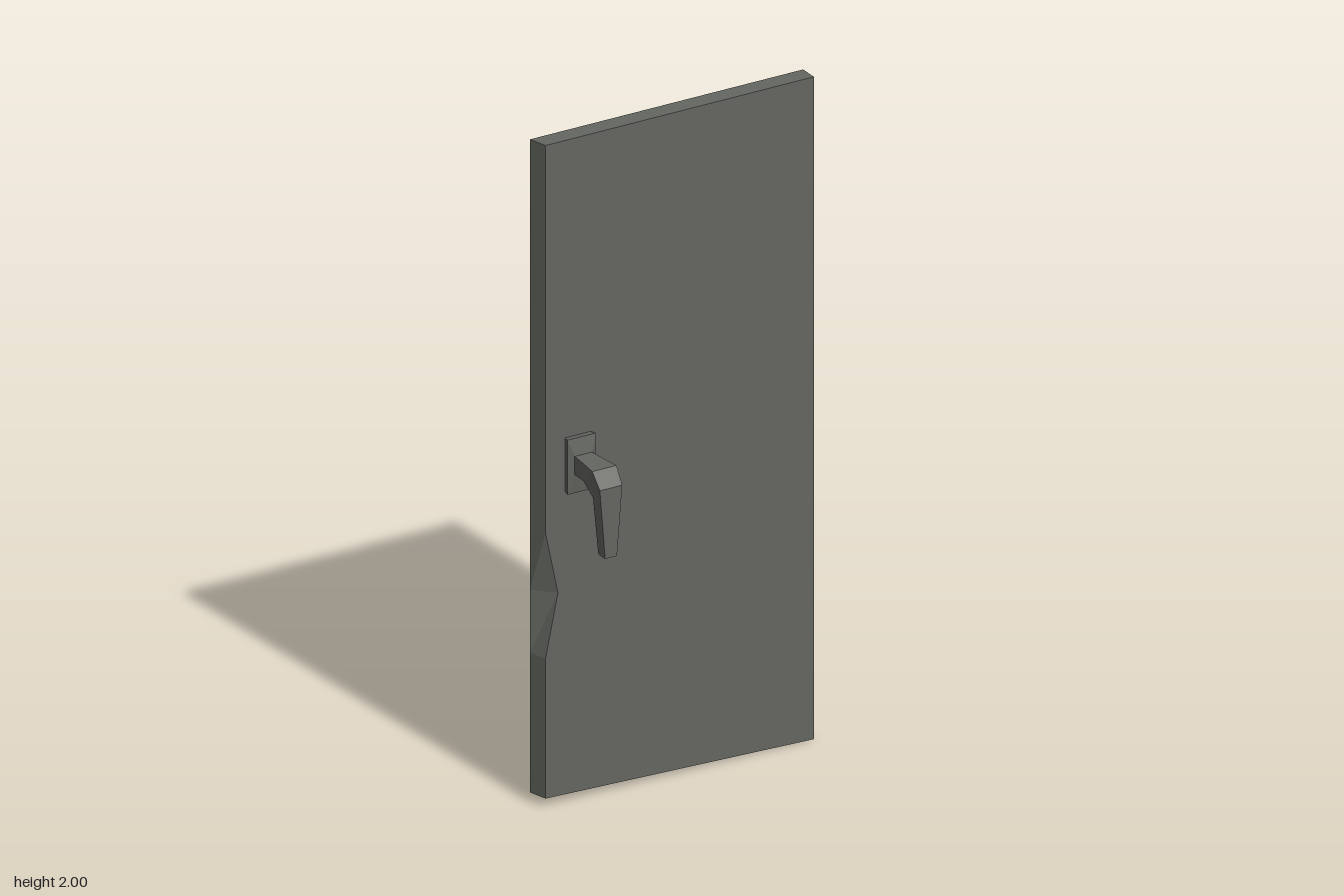
import * as THREE from 'three';

const BACK = -0.117, FRONT = -0.06;

// Slab with a slanted latch edge, a chipped front edge and a sloping bottom
function doorGeometry() {
  const outline = [[0.44, 0], [0.44, 2], [-0.425, 2], [-0.425, 0.83], [-0.385, 0.64], [-0.425, 0.45], [-0.425, 0.028]];
  const shape = new THREE.Shape(outline.map(([x, y]) => new THREE.Vector2(x, y)));
  const geo = new THREE.ExtrudeGeometry(shape, { depth: FRONT - BACK, bevelEnabled: false });
  geo.translate(0, 0, BACK);
  const p = geo.attributes.position;
  // the back edge stays straight and reaches further out
  for (let i = 0; i < p.count; i++) {
    if (p.getX(i) < 0 && p.getZ(i) < (BACK + FRONT) / 2) p.setX(i, -0.44);
  }
  geo.computeVertexNormals();
  return geo;
}

// Four-sided loft; each section is [topZ, topY, bottomZ, bottomY, halfWidth]
function loft(sections) {
  const rings = sections.map(([tz, ty, bz, by, w]) => [[-w, ty, tz], [w, ty, tz], [w, by, bz], [-w, by, bz]]);
  const pos = [];
  const quad = (a, b, c, d) => pos.push(...a, ...b, ...c, ...a, ...c, ...d);
  for (let i = 0; i < rings.length - 1; i++) {
    const r = rings[i], s = rings[i + 1];
    for (let j = 0; j < 4; j++) {
      const k = (j + 1) % 4;
      quad(r[j], s[j], s[k], r[k]);
    }
  }
  const first = rings[0], last = rings[rings.length - 1];
  quad(first[0], first[1], first[2], first[3]);
  quad(last[3], last[2], last[1], last[0]);
  const geo = new THREE.BufferGeometry();
  geo.setAttribute('position', new THREE.Float32BufferAttribute(pos, 3));
  geo.computeVertexNormals();
  return geo;
}

export function createModel() {
  const model = new THREE.Group();
  model.name = 'door';
  const grey = new THREE.MeshStandardMaterial({ color: 0x646661 });
  grey.name = 'dark grey';

  const panel = new THREE.Mesh(doorGeometry(), grey);
  panel.name = 'doorPanel';

  // Mounting plate flowing into the arm and the tapered hanging grip
  const handle = new THREE.Mesh(loft([
    [FRONT, 1.102, FRONT, 0.943, 0.041],
    [-0.038, 1.105, -0.038, 0.94, 0.046],
    [-0.029, 1.055, -0.029, 1.0, 0.028],
    [0.02, 1.055, 0.0, 1.003, 0.032],
    [0.081, 1.055, 0.035, 1.008, 0.039],
    [0.116, 1.01, 0.08, 0.975, 0.036],
    [0.116, 0.8, 0.08, 0.8, 0.019],
  ]), grey);
  handle.name = 'handle';
  handle.position.x = -0.322;

  // loft winding runs front to back, so check the cap facing the viewer
  model.add(panel, handle);
  return model;
}
